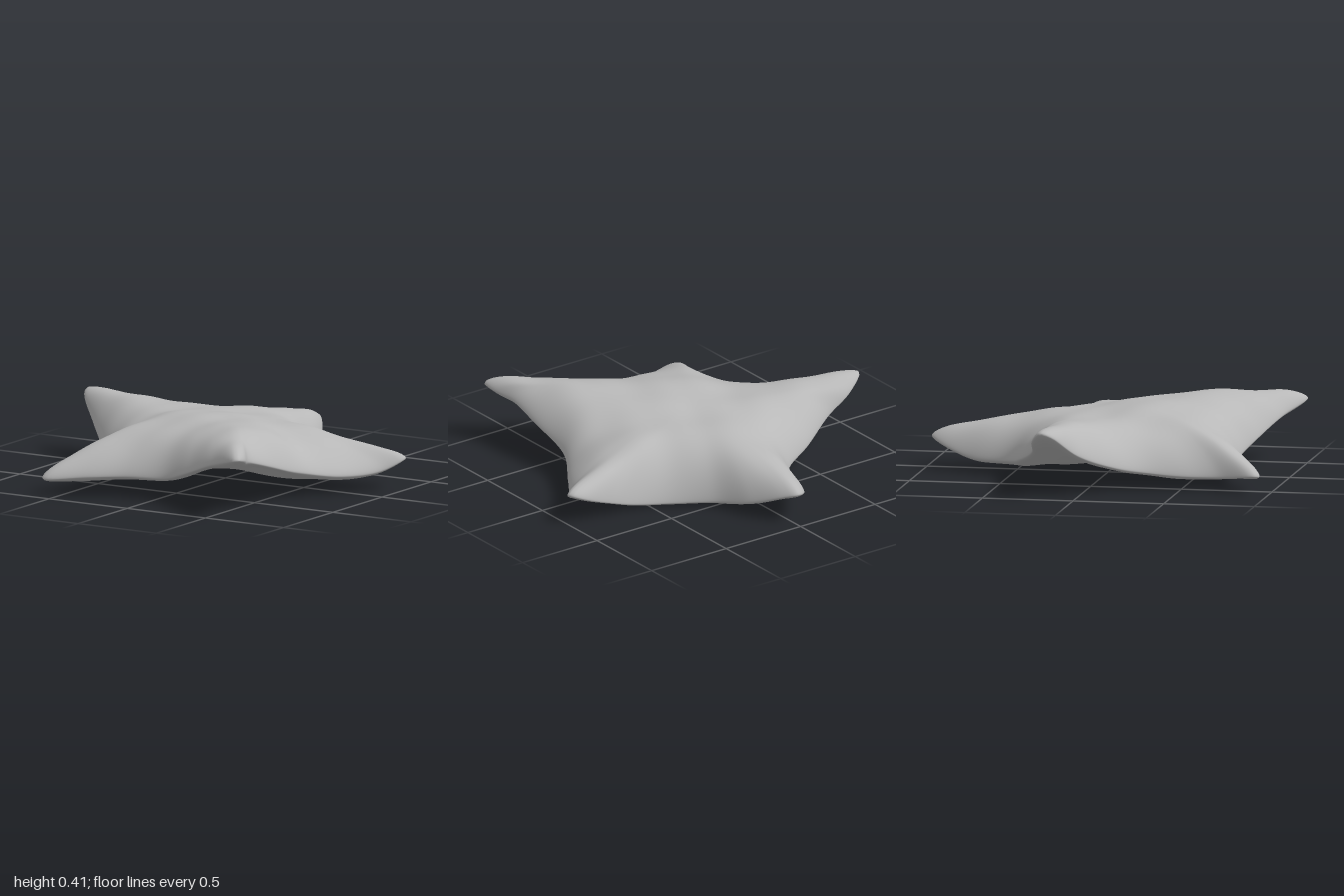
import * as THREE from 'three';
import { mergeVertices } from 'three/addons/utils/BufferGeometryUtils.js';

// Lower rim of the star: x, height, z, clockwise from the back tip
const RIM = [
  [-0.01, 0.155, -0.98], [0.04, 0.14, -0.93], [0.14, 0.07, -0.75], [0.235, 0.02, -0.53],
  [0.41, 0.0, -0.37], [0.57, 0.015, -0.31], [0.73, 0.06, -0.3], [0.95, 0.14, -0.29],
  [1, 0.155, -0.25], [0.91, 0.095, -0.13], [0.78, 0.085, 0.06], [0.65, 0.13, 0.28],
  [0.64, 0.21, 0.56], [0.64, 0.27, 0.77], [0.685, 0.3, 0.89], [0.68, 0.31, 0.96],
  [0.46, 0.25, 0.87], [0.25, 0.17, 0.785], [0.06, 0.11, 0.73], [-0.165, 0.1, 0.75],
  [-0.37, 0.09, 0.84], [-0.57, 0.075, 0.935], [-0.595, 0.08, 0.9], [-0.535, 0.06, 0.69],
  [-0.54, 0.06, 0.51], [-0.58, 0.08, 0.32], [-0.69, 0.12, 0.16], [-0.85, 0.205, -0.01],
  [-0.98, 0.32, -0.13], [-0.995, 0.34, -0.19], [-0.88, 0.28, -0.26], [-0.72, 0.2, -0.29],
  [-0.5, 0.12, -0.4], [-0.29, 0.075, -0.51], [-0.18, 0.07, -0.73], [-0.09, 0.13, -0.92],
];

// Heights of the upper skin: x, z, height
const CREST = [
  [0.03, 0.22, 0.41], [0, -0.15, 0.365], [0, -0.5, 0.335], [0, -0.8, 0.3],
  [0.5, -0.12, 0.335], [0.85, -0.2, 0.255], [-0.5, -0.12, 0.37], [-0.85, -0.15, 0.395],
  [0.4, 0.55, 0.425], [0.6, 0.85, 0.42], [-0.35, 0.5, 0.36], [-0.5, 0.8, 0.28], [0, 0.5, 0.4],
];

// Heights of the underside: x, z, height
const BELLY = [
  [0, 0.2, 0.11], [0.1, -0.3, 0.03], [-0.2, -0.3, 0.08], [0.35, -0.25, 0.02], [0, -0.6, 0.05],
  [0.5, -0.05, 0.06], [-0.5, -0.05, 0.14], [0.4, 0.5, 0.2], [-0.35, 0.5, 0.08], [0, 0.5, 0.11],
];

// Smooth height field through a few anchors
function heightAt(anchors, x, z) {
  let sum = 0, total = 0;
  for (const [ax, az, h] of anchors) {
    const w = Math.exp(-((x - ax) ** 2 + (z - az) ** 2) / 0.06) + 1e-6;
    sum += w * h;
    total += w;
  }
  return sum / total;
}

// Soft irregular lumps of the skin
const lumps = (x, z) =>
  0.006 * Math.sin(9 * x + 5 * z + 1) * Math.sin(8 * z - 4 * x) + 0.004 * Math.sin(17 * x - 6 * z) * Math.sin(15 * z + 7 * x);

function starGeometry(sides = 260, rings = 30) {
  const curve = new THREE.CatmullRomCurve3(RIM.map(p => new THREE.Vector3(...p)), true, 'centripetal');
  const rim = curve.getSpacedPoints(sides).slice(0, sides);
  // Blurred copy of the rim, so the ridges of the arms stay round
  const reach = 10;
  const soft = rim.map((_, j) => {
    const v = new THREE.Vector3();
    for (let k = -reach; k <= reach; k++) v.add(rim[(j + k + sides) % sides]);
    return v.divideScalar(2 * reach + 1);
  });

  const pos = [], index = [];
  const p = new THREE.Vector3();
  // Rings run from the middle of the underside, around the rim, to the middle of the top
  for (let i = 0; i <= 2 * rings; i++) {
    const t = i === 0 || i === 2 * rings ? 0 : Math.sin((i / rings) * Math.PI / 2);
    for (let j = 0; j < sides; j++) {
      p.lerpVectors(soft[j], rim[j], t * t);
      const x = p.x * t, z = p.z * t;
      const edge = p.y + 0.03;
      const round = Math.sqrt(Math.max(0, 1 - t ** 12));
      let y;
      if (i > rings) {
        const low = edge + 0.04 * round;
        y = low + (heightAt(CREST, x, z) - low) * (1 - t ** 4.4) + lumps(x, z) * round;
      } else {
        const low = edge - 0.03 * round;
        y = low + (heightAt(BELLY, x, z) - low) * (1 - t ** 2.5) + 0.7 * lumps(z, x) * round;
      }
      pos.push(x, y, z);
      if (i < 2 * rings) {
        const a = i * sides + j, b = i * sides + (j + 1) % sides;
        const c = a + sides, d = b + sides;
        if (i > 0) index.push(a, c, b);
        if (i < 2 * rings - 1) index.push(b, c, d);
      }
    }
  }
  let geo = new THREE.BufferGeometry();
  geo.setAttribute('position', new THREE.Float32BufferAttribute(pos, 3));
  geo.setIndex(index);
  geo = mergeVertices(geo, 1e-5);

  // Stand it on the ground, centred
  geo.computeBoundingBox();
  const { min, max } = geo.boundingBox;
  geo.translate(-(min.x + max.x) / 2, -min.y, -(min.z + max.z) / 2);
  geo.computeVertexNormals();
  return geo;
}

export function createModel() {
  const group = new THREE.Group();
  group.name = 'starfish';
  const skin = new THREE.MeshStandardMaterial({ color: 0xb8b8b8 });
  skin.name = 'grey skin';
  const body = new THREE.Mesh(starGeometry(), skin);
  body.name = 'starBody';
  group.add(body);
  return group;
}
